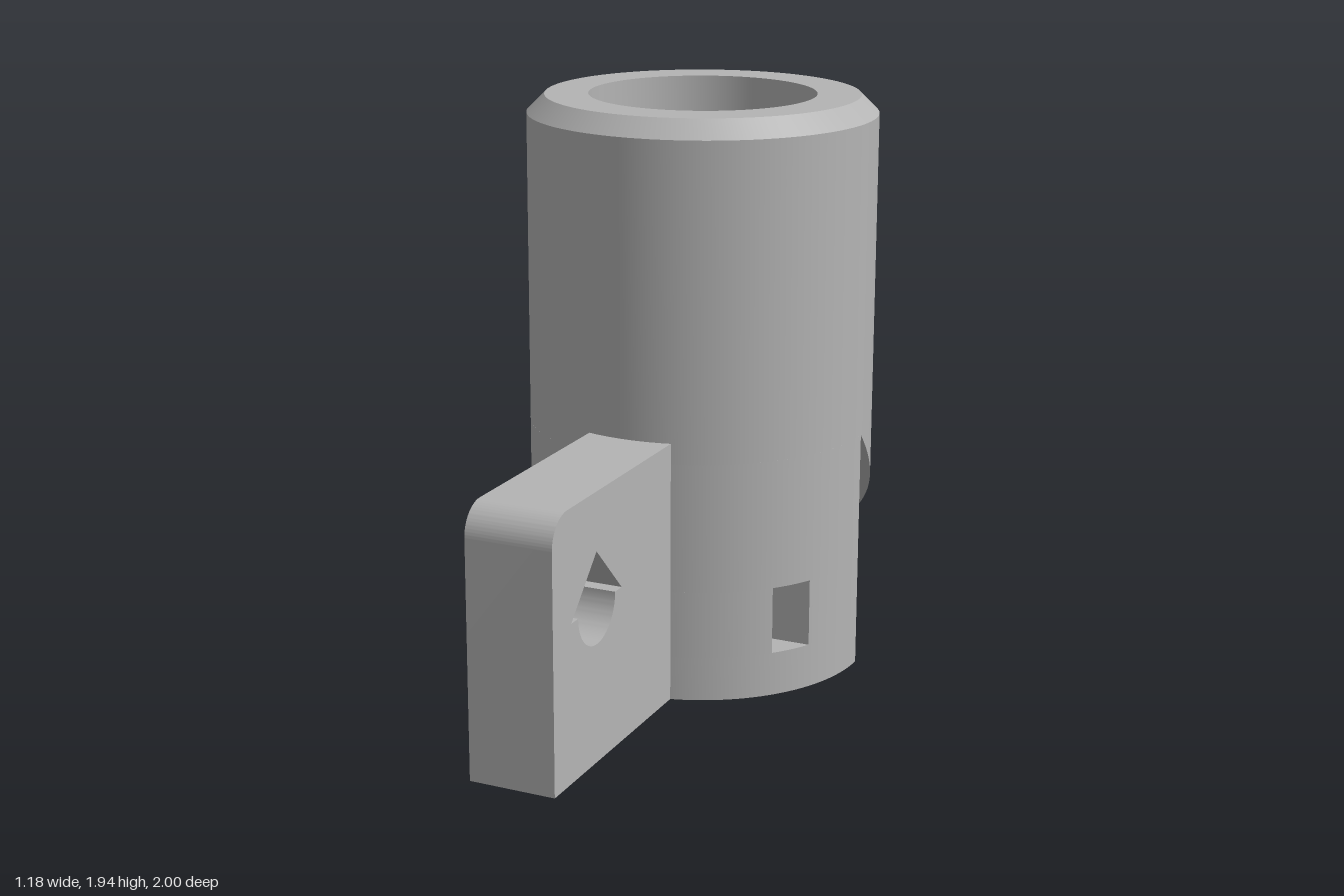
import * as THREE from 'three';
import { toCreasedNormals } from 'three/addons/utils/BufferGeometryUtils.js';

const R = 0.59, BORE = 0.17, SOCKET = 0.383; // radii
const CZ = -0.41;                            // tube axis
const CUT = 0.82, FLOOR = 0.97, TOP = 1.94, CHAMFER = 0.06;

export function createModel() {
  const model = new THREE.Group();
  const grey = new THREE.MeshStandardMaterial({ color: 0xb4b4b4 });
  const add = (geometry, name, z = 0) => {
    const mesh = new THREE.Mesh(toCreasedNormals(geometry, 0.5), grey);
    mesh.name = name;
    mesh.position.z = z;
    model.add(mesh);
  };

  // Upper tube: stepped bore, chamfered rim, rear skirt sliced at 45 degrees
  const profile = [
    [BORE, CUT], [R, CUT], [R, TOP - CHAMFER], [R - CHAMFER, TOP],
    [SOCKET, TOP], [SOCKET, FLOOR], [BORE, FLOOR], [BORE, CUT],
  ].map(([x, y]) => new THREE.Vector2(x, y));
  const tube = new THREE.LatheGeometry(profile, 128);
  const p = tube.attributes.position;
  for (let i = 0; i < p.count; i++) {
    if (Math.abs(p.getY(i) - CUT) < 1e-4) p.setY(i, CUT + Math.min(0, p.getZ(i)));
  }
  add(tube, 'upperTube', CZ);

  // Lower front half, stacked from plan sections so the side slot stays open
  const layer = (shape, y0, y1, name) => {
    const g = new THREE.ExtrudeGeometry(shape, { depth: y1 - y0, bevelEnabled: false, curveSegments: 64 });
    g.rotateX(-Math.PI / 2);
    g.translate(0, y0, 0);
    add(g, name, CZ);
  };
  const halfRing = new THREE.Shape();
  halfRing.absarc(0, 0, R, Math.PI, 2 * Math.PI, false);
  halfRing.absarc(0, 0, BORE, 2 * Math.PI, Math.PI, true);

  const a = Math.asin(0.275 / R), b = Math.asin(0.395 / R); // slot edges
  const behindSlot = new THREE.Shape();
  behindSlot.absarc(0, 0, R, Math.PI, Math.PI + a, false);
  behindSlot.absarc(0, 0, R, 2 * Math.PI - a, 2 * Math.PI, false);
  behindSlot.absarc(0, 0, BORE, 2 * Math.PI, Math.PI, true);
  const beforeSlot = new THREE.Shape();
  beforeSlot.absarc(0, 0, R, Math.PI + b, 2 * Math.PI - b, false);

  layer(halfRing, 0, 0.15, 'lowerBase');
  layer(behindSlot, 0.15, 0.38, 'slotInnerWall');
  layer(beforeSlot, 0.15, 0.38, 'slotOuterWall');
  layer(halfRing, 0.38, CUT, 'lowerBody');

  // Mounting lug with a rounded corner and a pointed round hole
  const W = 0.147, H = 0.89, corner = 0.1;
  const lug = new THREE.Shape();
  lug.moveTo(0.1, 0);
  lug.lineTo(1, 0);
  lug.lineTo(1, H - corner);
  lug.absarc(1 - corner, H - corner, corner, 0, Math.PI / 2, false);
  lug.lineTo(0.1, H);
  const hole = new THREE.Path();
  const hz = 0.705, hy = 0.523;
  hole.moveTo(hz + 0.175, hy);
  hole.lineTo(hz, hy + 0.175);
  hole.lineTo(hz - 0.175, hy);
  hole.absarc(hz, hy, 0.128, Math.PI, 2 * Math.PI, false);
  lug.holes.push(hole);
  const lugGeometry = new THREE.ExtrudeGeometry(lug, { depth: 2 * W, bevelEnabled: false, curveSegments: 24 });
  lugGeometry.translate(0, 0, -W);
  lugGeometry.rotateY(-Math.PI / 2);
  add(lugGeometry, 'mountingLug');

  return model;
}
